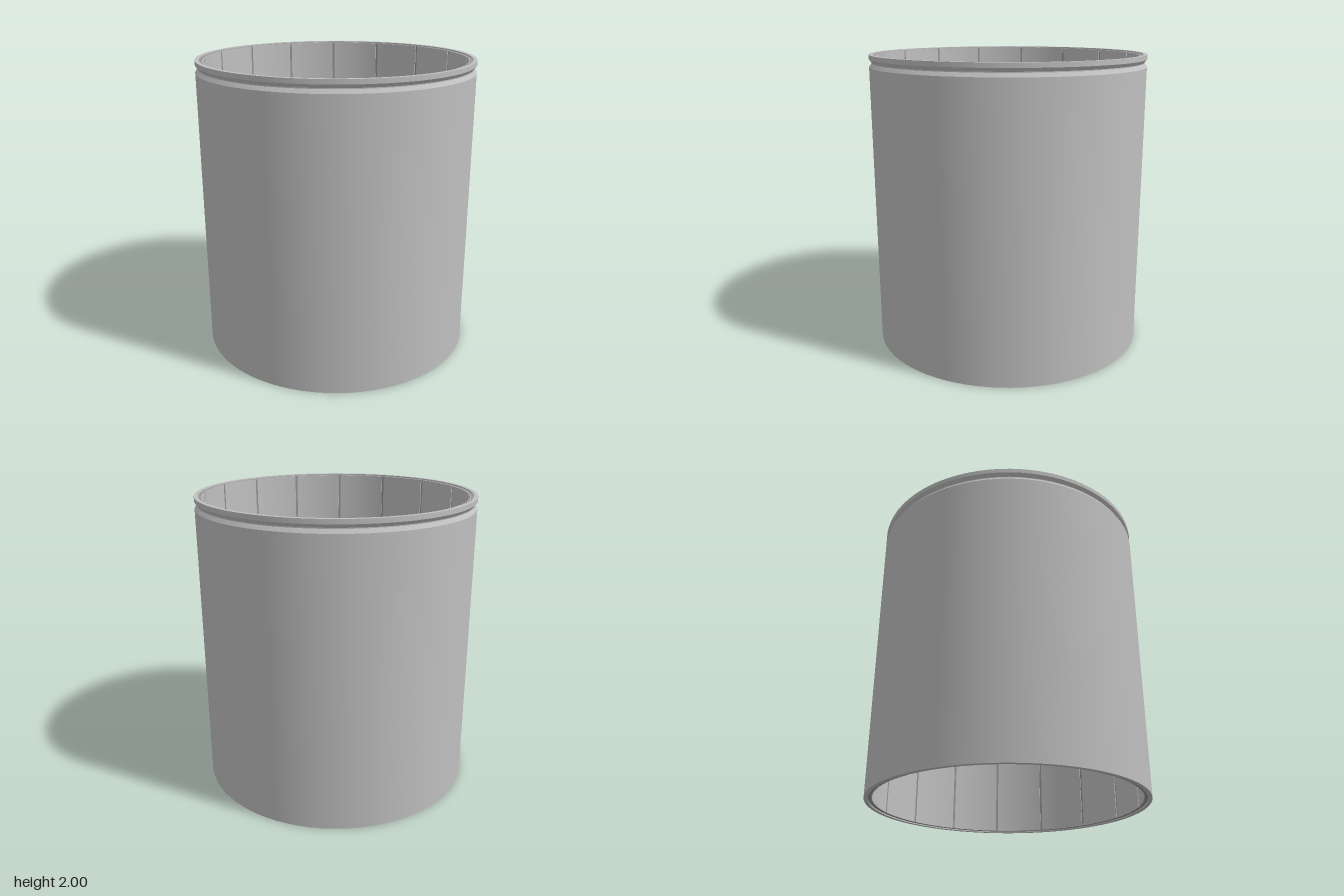
import * as THREE from 'three';
import { toCreasedNormals } from 'three/addons/utils/BufferGeometryUtils.js';

// Closed ring turned from a counter-clockwise (radius, height) profile
function turned(name, profile, material) {
  const points = profile.map(([r, y]) => new THREE.Vector2(r, y));
  points.push(points[0].clone());
  const geometry = toCreasedNormals(new THREE.LatheGeometry(points, 80), 0.3);
  const mesh = new THREE.Mesh(geometry, material);
  mesh.name = name;
  return mesh;
}

export function createModel() {
  const steel = new THREE.MeshStandardMaterial({ color: 0xc0c0c0 });
  steel.name = 'light steel';
  const lining = new THREE.MeshStandardMaterial({ color: 0x969696 });
  lining.name = 'dark lining';

  const model = new THREE.Group();
  model.name = 'linedSleeve';

  // Outer shell with a V-shaped groove below the top rim
  model.add(turned('outerShell', [
    [0.933, 0], [0.933, 1.918], [0.916, 1.942], [0.916, 1.948],
    [0.933, 1.97], [0.933, 2], [0.906, 2], [0.906, 0],
  ], steel));

  // Darker liner, its ends set slightly inside the shell
  model.add(turned('liner', [
    [0.906, 0.008], [0.906, 1.992], [0.886, 1.992], [0.886, 0.008],
  ], lining));

  // Sixteen thin curved pads, leaving narrow slots between them
  const count = 16, step = (Math.PI * 2) / count, gap = 0.017;
  const arc = new THREE.Shape();
  arc.absarc(0, 0, 0.887, gap / 2, step - gap / 2, false);
  arc.absarc(0, 0, 0.88, step - gap / 2, gap / 2, true);
  arc.closePath();
  const extruded = new THREE.ExtrudeGeometry(arc, { depth: 1.984, bevelEnabled: false, curveSegments: 6 });
  extruded.rotateX(-Math.PI / 2);
  const padGeometry = toCreasedNormals(extruded, 0.3);

  const pads = new THREE.Group();
  pads.name = 'pads';
  for (let i = 0; i < count; i++) {
    const pad = new THREE.Mesh(padGeometry, steel);
    pad.name = 'pad';
    pad.position.y = 0.008;
    pad.rotation.y = i * step;
    pads.add(pad);
  }
  model.add(pads);
  return model;
}
